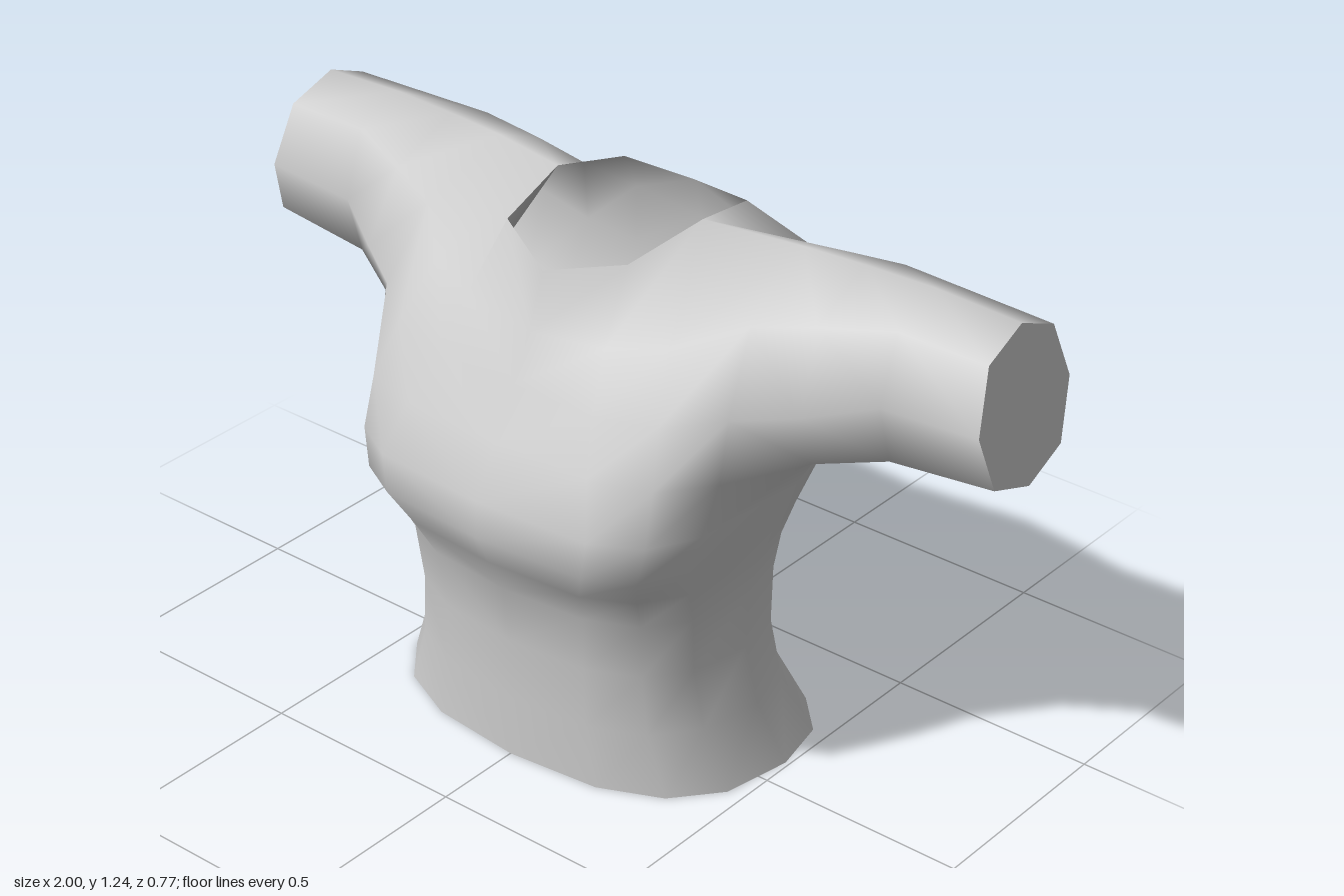
import * as THREE from 'three';
import { mergeVertices } from 'three/addons/utils/BufferGeometryUtils.js';

const material = new THREE.MeshStandardMaterial({ color: 0xcccccc, side: THREE.DoubleSide });

// Half a torso ring, from centre front round the left side to centre back
function torsoRing([y, width, front, back, mid, nFront, nBack]) {
  const ring = [];
  for (let k = 0; k <= 8; k++) {
    const a = (k * Math.PI) / 8, n = k < 4 ? nFront : nBack;
    const depth = k < 4 ? front - mid : back - mid;
    const s = k % 8 ? Math.sin(a) ** (2 / n) : 0;
    const c = k === 4 ? 0 : Math.abs(Math.cos(a)) ** (2 / n);
    ring.push([width * s, y, mid + depth * c]);
  }
  return ring;
}

// Triangles of a grid of points, plus its mirror image
function addGrid(out, rows) {
  const tri = (a, b, c) => {
    out.push(...a, ...b, ...c);
    for (const p of [a, c, b]) out.push(p[0] ? -p[0] : 0, p[1], p[2]);
  };
  for (let r = 0; r + 1 < rows.length; r++) {
    for (let k = 0; k + 1 < rows[r].length; k++) {
      const a = rows[r][k], b = rows[r][k + 1], c = rows[r + 1][k + 1], d = rows[r + 1][k];
      tri(a, b, c);
      tri(a, c, d);
    }
  }
}

function toMesh(positions, name) {
  let geometry = new THREE.BufferGeometry();
  geometry.setAttribute('position', new THREE.Float32BufferAttribute(positions, 3));
  geometry = mergeVertices(geometry, 1e-4);
  geometry.computeVertexNormals();
  const mesh = new THREE.Mesh(geometry, material);
  mesh.name = name;
  return mesh;
}

export function createModel() {
  const group = new THREE.Group();
  group.name = 'shirt';
  const shell = [];

  // Body from hem to chest: y, half width, front z, back z, side z, roundness
  const body = [
    [0, 0.49, 0.285, -0.385, -0.08, 2.5, 2.5],
    [0.15, 0.43, 0.285, -0.31, -0.05, 2.5, 2.5],
    [0.3, 0.41, 0.285, -0.28, -0.03, 2.6, 2.6],
    [0.44, 0.415, 0.3, -0.275, -0.03, 2.8, 2.6],
    [0.53, 0.43, 0.345, -0.277, -0.04, 3.2, 2.6],
    [0.61, 0.455, 0.385, -0.29, -0.06, 3.8, 2.6],
    [0.7, 0.475, 0.385, -0.345, -0.1, 3.8, 2.7],
  ].map(torsoRing);

  // Underarm row
  const underarm = [
    [0, 0.82, 0.325], [0.25, 0.82, 0.32], [0.39, 0.82, 0.275], [0.475, 0.82, 0.16],
    [0.52, 0.785, -0.13],
    [0.465, 0.82, -0.31], [0.37, 0.82, -0.365], [0.21, 0.82, -0.382], [0, 0.82, -0.385],
  ];
  addGrid(shell, [...body, underarm]);

  // Yoke, front and back, from underarm to neckline and shoulder
  const neckSide = [0.2, 1.235, -0.12], shoulder = [0.42, 1.22, -0.18];
  const front = [
    underarm.slice(0, 4),
    [[0, 0.93, 0.257], [0.21, 0.93, 0.255], [0.36, 0.94, 0.22], [0.475, 0.96, 0.135]],
    [[0, 1.03, 0.205], [0.19, 1.05, 0.19], [0.32, 1.08, 0.14], [0.445, 1.125, 0.03]],
    [[0, 1.16, 0.163], [0.165, 1.197, 0.085], neckSide, shoulder],
  ];
  const back = [
    underarm.slice(5),
    [[0.46, 0.99, -0.383], [0.34, 0.96, -0.388], [0.2, 0.95, -0.39], [0, 0.95, -0.39]],
    [[0.44, 1.15, -0.335], [0.32, 1.12, -0.35], [0.18, 1.1, -0.365], [0, 1.08, -0.372]],
    [shoulder, neckSide, [0.17, 1.197, -0.31], [0, 1.18, -0.345]],
  ];
  addGrid(shell, front);
  addGrid(shell, back);

  // Sleeve rings: under, up the front, over the top, down the back
  const armhole = [
    underarm[4], front[0][3], front[1][3], front[2][3],
    shoulder, back[2][0], back[1][0], back[0][0],
  ];
  const upperSleeve = [
    [0.6, 0.815, -0.16], [0.6, 0.85, 0.01], [0.6, 0.98, 0.06], [0.58, 1.15, -0.02],
    [0.57, 1.223, -0.19], [0.58, 1.175, -0.32], [0.6, 1.02, -0.373], [0.6, 0.865, -0.32],
  ];
  const cuffProfile = [
    [0.86, -0.19], [0.9, -0.07], [1.03, -0.03], [1.17, -0.08],
    [1.215, -0.2], [1.17, -0.31], [1.04, -0.355], [0.905, -0.31],
  ];
  const cuff = cuffProfile.map(([y, z]) => [1 - (0.05 * (y - 0.86)) / 0.355, y, z]);
  const midSleeve = cuffProfile.map(([y, z]) =>
    [0.74, 1.027 + (y - 1.0375) * 1.1, -0.19 + (z + 0.19) * 1.05]);
  const rings = [cuff, midSleeve, upperSleeve, armhole];
  addGrid(shell, rings.map((ring) => [...ring, ring[0]]));
  group.add(toMesh(shell, 'shirtShell'));

  // Flat ends closing the sleeves
  for (const side of [1, -1]) {
    const end = [];
    for (let k = 1; k < 7; k++) {
      const corners = side > 0 ? [0, k + 1, k] : [0, k, k + 1];
      for (const i of corners) end.push(side * cuff[i][0], cuff[i][1], cuff[i][2]);
    }
    group.add(toMesh(end, side > 0 ? 'leftSleeveEnd' : 'rightSleeveEnd'));
  }
  return group;
}
